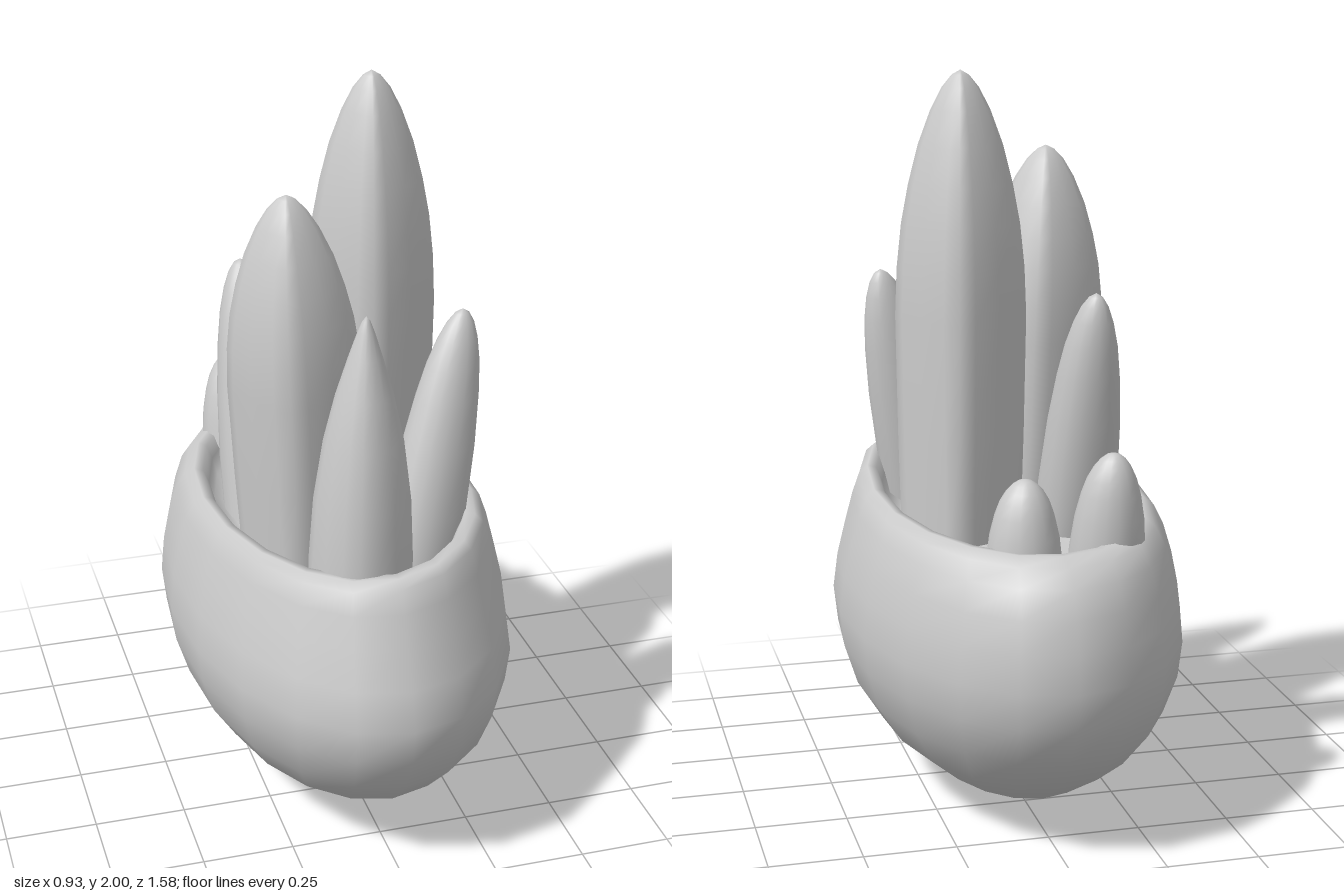
import * as THREE from 'three';
import { mergeVertices } from 'three/addons/utils/BufferGeometryUtils.js';

const material = new THREE.MeshStandardMaterial({ color: 0xcccccc });

// Smooth skin over equal-length closed rings, listed along the profile
function loft(name, rings) {
  const n = rings[0].length;
  const index = [];
  for (let j = 0; j < rings.length - 1; j++) {
    for (let i = 0; i < n; i++) {
      const a = j * n + i, b = j * n + (i + 1) % n;
      index.push(a, a + n, b, b, a + n, b + n);
    }
  }
  let geometry = new THREE.BufferGeometry().setFromPoints(rings.flat());
  geometry.setIndex(index);
  geometry = mergeVertices(geometry, 1e-5);
  geometry.computeVertexNormals();
  const mesh = new THREE.Mesh(geometry, material);
  mesh.name = name;
  return mesh;
}

function makePot() {
  // y, half width x, half depth z, share of the rim wave, shift in z
  const profile = [
    [0.005, 0, 0, 0, 0], [0.03, 0.12, 0.24, 0, 0], [0.09, 0.235, 0.44, 0, 0],
    [0.19, 0.35, 0.61, 0, 0], [0.3, 0.42, 0.72, 0, 0], [0.41, 0.455, 0.775, 0, 0],
    [0.51, 0.466, 0.79, 0, 0], [0.61, 0.455, 0.77, 0.1, -0.01], [0.7, 0.435, 0.74, 0.3, -0.02],
    [0.78, 0.412, 0.71, 0.7, -0.02], [0.83, 0.39, 0.675, 1, -0.01], [0.85, 0.365, 0.64, 1, 0],
    [0.845, 0.34, 0.605, 1, 0], [0.81, 0.325, 0.575, 0.8, 0],
    [0.76, 0.312, 0.55, 0.4, 0], [0.745, 0.26, 0.48, 0, 0], [0.74, 0, 0, 0, 0],
  ];
  const sides = 20;
  return loft('pot', profile.map(([y, rx, rz, wave, dz]) =>
    Array.from({ length: sides }, (_, i) => {
      const a = i / sides * Math.PI * 2;
      const lift = 0.022 * Math.sin(a) + 0.03 * Math.max(0, Math.cos(a - 0.8)) ** 4;
      return new THREE.Vector3(rx * Math.cos(a), y + lift * wave, rz * Math.sin(a) + (rx ? dz : 0));
    })));
}

// Taper profiles: fraction of height, fraction of radius
const tapers = {
  tall: [[0, 0.92], [0.25, 0.97], [0.5, 1], [0.6, 0.97], [0.69, 0.9], [0.77, 0.79], [0.85, 0.64],
    [0.92, 0.45], [0.965, 0.28], [0.99, 0.13], [1, 0]],
  spike: [[0, 1], [0.2, 0.99], [0.4, 0.92], [0.6, 0.75], [0.75, 0.54], [0.87, 0.32],
    [0.95, 0.16], [0.985, 0.075], [1, 0]],
  bud: [[0, 1], [0.25, 1], [0.5, 0.91], [0.68, 0.78], [0.8, 0.65], [0.89, 0.49],
    [0.95, 0.33], [0.985, 0.17], [1, 0]],
};

// power 1 is round, larger values square the section towards a diamond
function makeStem({ name, base, tip, top, rx, rz, rot = 0, power = 1, taper }) {
  const sides = 16, bottom = 0.7;
  const bend = (c) => Math.sign(c) * Math.abs(c) ** power;
  return loft(name, tapers[taper].map(([t, s]) => {
    const cx = base[0] + (tip[0] - base[0]) * t;
    const cz = base[1] + (tip[1] - base[1]) * t;
    return Array.from({ length: sides }, (_, i) => {
      const a = i / sides * Math.PI * 2;
      const u = rx * s * bend(Math.cos(a)), v = rz * s * bend(Math.sin(a));
      return new THREE.Vector3(
        cx + u * Math.cos(rot) - v * Math.sin(rot),
        bottom + (top - bottom) * t,
        cz + u * Math.sin(rot) + v * Math.cos(rot));
    });
  }));
}

const stems = [
  { name: 'tallestStem', base: [0.14, -0.085], tip: [0.135, -0.08], top: 2, rx: 0.176, rz: 0.176, rot: 0.24, power: 1.5, taper: 'tall' },
  { name: 'secondStem', base: [-0.125, 0.165], tip: [-0.17, 0.185], top: 1.77, rx: 0.18, rz: 0.18, rot: 0.32, power: 1.45, taper: 'tall' },
  { name: 'frontSpike', base: [-0.055, 0.47], tip: [-0.045, 0.48], top: 1.54, rx: 0.137, rz: 0.137, rot: 0.3, power: 1.15, taper: 'spike' },
  { name: 'leftLeaningStem', base: [0.15, 0.305], tip: [0.295, 0.235], top: 1.43, rx: 0.115, rz: 0.095, rot: -0.3, power: 0.95, taper: 'bud' },
  { name: 'rightLeaningStem', base: [-0.175, -0.09], tip: [-0.18, -0.29], top: 1.43, rx: 0.105, rz: 0.12, power: 0.9, taper: 'bud' },
  { name: 'rightBackBud', base: [-0.16, -0.46], tip: [-0.165, -0.51], top: 1.055, rx: 0.1, rz: 0.1, taper: 'bud' },
  { name: 'leftBackBud', base: [0.07, -0.5], tip: [0.07, -0.51], top: 1, rx: 0.1, rz: 0.1, taper: 'bud' },
];

export function createModel() {
  const model = new THREE.Group();
  model.name = 'pottedSucculent';
  model.add(makePot(), ...stems.map(makeStem));
  return model;
}
